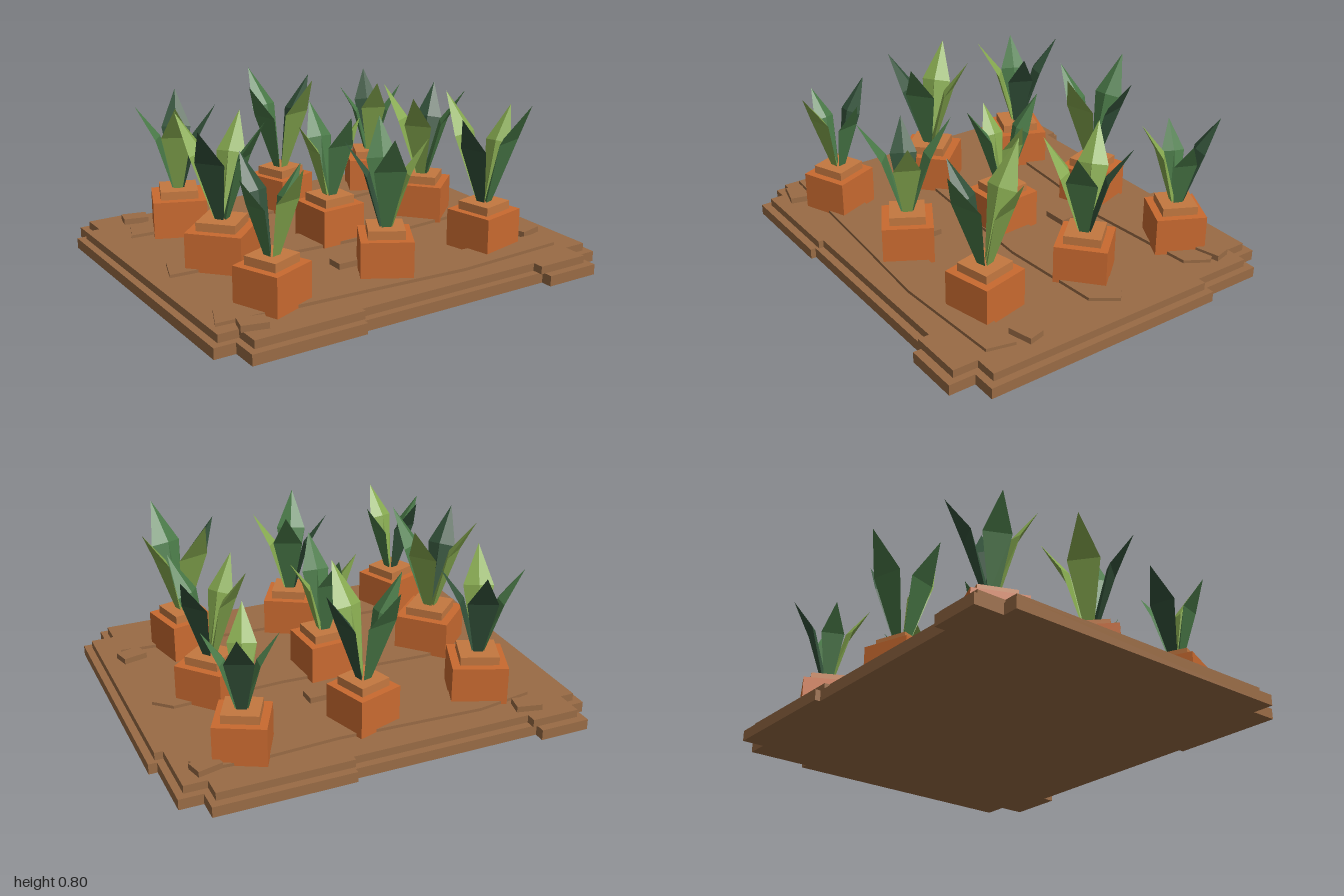
import * as THREE from 'three';

const mat = (name, color) => {
  const m = new THREE.MeshStandardMaterial({ color, flatShading: true });
  m.name = name;
  return m;
};

// Flat slab from a top-down outline of [x, z] points
function slab(name, points, y0, y1, material) {
  const shape = new THREE.Shape(points.map(([x, z]) => new THREE.Vector2(x, -z)));
  const g = new THREE.ExtrudeGeometry(shape, { depth: y1 - y0, bevelEnabled: false });
  g.rotateX(-Math.PI / 2);
  g.translate(0, y0, 0);
  const mesh = new THREE.Mesh(g, material);
  mesh.name = name;
  return mesh;
}

function box(name, w, h, d, y0, material) {
  const mesh = new THREE.Mesh(new THREE.BoxGeometry(w, h, d), material);
  mesh.position.y = y0 + h / 2;
  mesh.name = name;
  return mesh;
}

// Leaf leaning towards +z: flat outside, ridged inside, pointed tip
function leafGeometry(r) {
  const h = 2.12 * r, w = 0.34 * r, mz = 0.52 * r, my = 0.62 * h;
  const pos = [
    -0.02, -0.01, 0.025, 0.02, -0.01, 0.025, 0, -0.005, 0.005,
    -w, my, mz, w, my, mz, 0, my + 0.05 * r, mz - 0.12 * r,
    0, h, r,
  ];
  const index = [
    0, 1, 4, 0, 4, 3, 3, 4, 6,
    1, 2, 5, 1, 5, 4, 4, 5, 6,
    2, 0, 3, 2, 3, 5, 5, 3, 6,
  ];
  let g = new THREE.BufferGeometry();
  g.setAttribute('position', new THREE.Float32BufferAttribute(pos, 3));
  g.setIndex(index);
  g = g.toNonIndexed();
  g.computeVertexNormals();
  return g;
}

export function createModel() {
  const soil = mat('soil brown', 0x996b45);
  const clay = mat('root orange', 0xc96a30);
  const clayTop = mat('root cap orange', 0xc47840);
  const greens = {
    L: mat('light leaf green', 0x87aa50),
    M: mat('mid leaf green', 0x4a7a48),
    D: mat('dark leaf green', 0x33523a),
  };
  const model = new THREE.Group();
  model.name = 'plantedPlot';

  // Two-tier ground with stepped edges
  const outline = [
    [-0.93, -0.88], [-0.69, -0.88], [-0.69, -0.83], [0.205, -0.83], [0.205, -0.855],
    [0.85, -0.855], [0.85, -0.75], [0.96, -0.75], [0.96, -0.45], [1, -0.45],
    [1, 0.75], [0.885, 0.75], [0.885, 0.875], [0.615, 0.875], [0.615, 0.82],
    [-0.36, 0.82], [-0.36, 0.845], [-0.9, 0.845], [-0.9, 0.715], [-1, 0.715],
    [-1, -0.74], [-0.93, -0.74],
  ];
  model.add(slab('groundLower', outline, 0, 0.05, soil));
  model.add(slab('groundUpper', outline.map(([x, z]) => [x * 0.965, z * 0.955]), 0.05, 0.087, soil));

  // Low furrow mounds
  const rows = [
    [[-0.815, -0.5], [-0.765, -0.63], [-0.49, -0.675], [0.2, -0.645], [0.6, -0.665],
      [0.8, -0.65], [0.855, -0.57], [0.79, -0.465], [0.24, -0.42], [-0.18, -0.46]],
    [[-0.875, 0.055], [-0.825, -0.09], [-0.5, -0.11], [0.24, -0.08], [0.78, -0.105],
      [0.86, -0.03], [0.78, 0.085], [0.27, 0.125], [-0.26, 0.095]],
    [[-0.94, 0.615], [-0.88, 0.475], [-0.5, 0.45], [0.24, 0.49], [0.86, 0.53],
      [0.83, 0.66], [0.27, 0.69], [-0.24, 0.655]],
  ];
  rows.forEach((p, i) => model.add(slab(`furrow${i + 1}`, p, 0.085, 0.102, soil)));

  // Loose clods: x, z, turn
  [[-0.7, -0.725, -0.22], [0.8, -0.63, 0.25], [0.135, -0.265, 0.04],
    [-0.135, 0.335, 0], [0.825, 0.455, 0.25], [-0.81, 0.69, -0.25],
  ].forEach(([x, z, turn], i) => {
    const clod = box(`clod${i + 1}`, 0.12, 0.03, 0.082, 0.085, soil);
    clod.position.x = x;
    clod.position.z = z;
    clod.rotation.y = turn;
    model.add(clod);
  });

  // Plants: x, z, block turn (degrees), block width, first leaf angle, leaf reaches, leaf colours
  const plants = [
    [-0.56, -0.5, -22, 0.255, 155, 0.207, 0.19, 'DDLM'],
    [0.035, -0.535, 18, 0.23, 195, 0.227, 0.21, 'MDLM'],
    [0.61, -0.565, -27, 0.235, 157, 0.188, 0.163, 'DMLM'],
    [-0.595, 0.025, 43, 0.265, 217, 0.22, 0.212, 'LLMD'],
    [0, -0.01, 4, 0.235, 178, 0.195, 0.166, 'MLML'],
    [0.58, -0.05, 41, 0.24, 218, 0.208, 0.2, 'LDML'],
    [-0.63, 0.535, 22, 0.235, 193, 0.19, 0.168, 'DMLM'],
    [-0.035, 0.5, -30, 0.235, 154, 0.21, 0.183, 'MLMD'],
    [0.55, 0.47, 13, 0.24, 197, 0.232, 0.202, 'LLMD'],
  ];
  const rad = THREE.MathUtils.degToRad;
  plants.forEach(([x, z, turn, size, angle, longReach, shortReach, colours], i) => {
    const plant = new THREE.Group();
    plant.name = `plant${i + 1}`;
    plant.position.set(x, 0, z);

    const block = new THREE.Group();
    block.name = 'rootBlock';
    block.rotation.y = rad(turn);
    block.add(box('rootBody', size, 0.18, size, 0.087, clay));
    block.add(box('rootCap', size * 0.7, 0.04, size * 0.7, 0.267, clayTop));
    plant.add(block);

    // Four leaves a quarter turn apart
    for (let k = 0; k < 4; k++) {
      const reach = k % 2 ? shortReach : longReach;
      const leaf = new THREE.Mesh(leafGeometry(reach), greens[colours[k]]);
      leaf.name = `leaf${k + 1}`;
      leaf.position.y = 0.307;
      leaf.rotation.y = rad(angle - 90 * k);
      plant.add(leaf);
    }
    model.add(plant);
  });
  return model;
}
